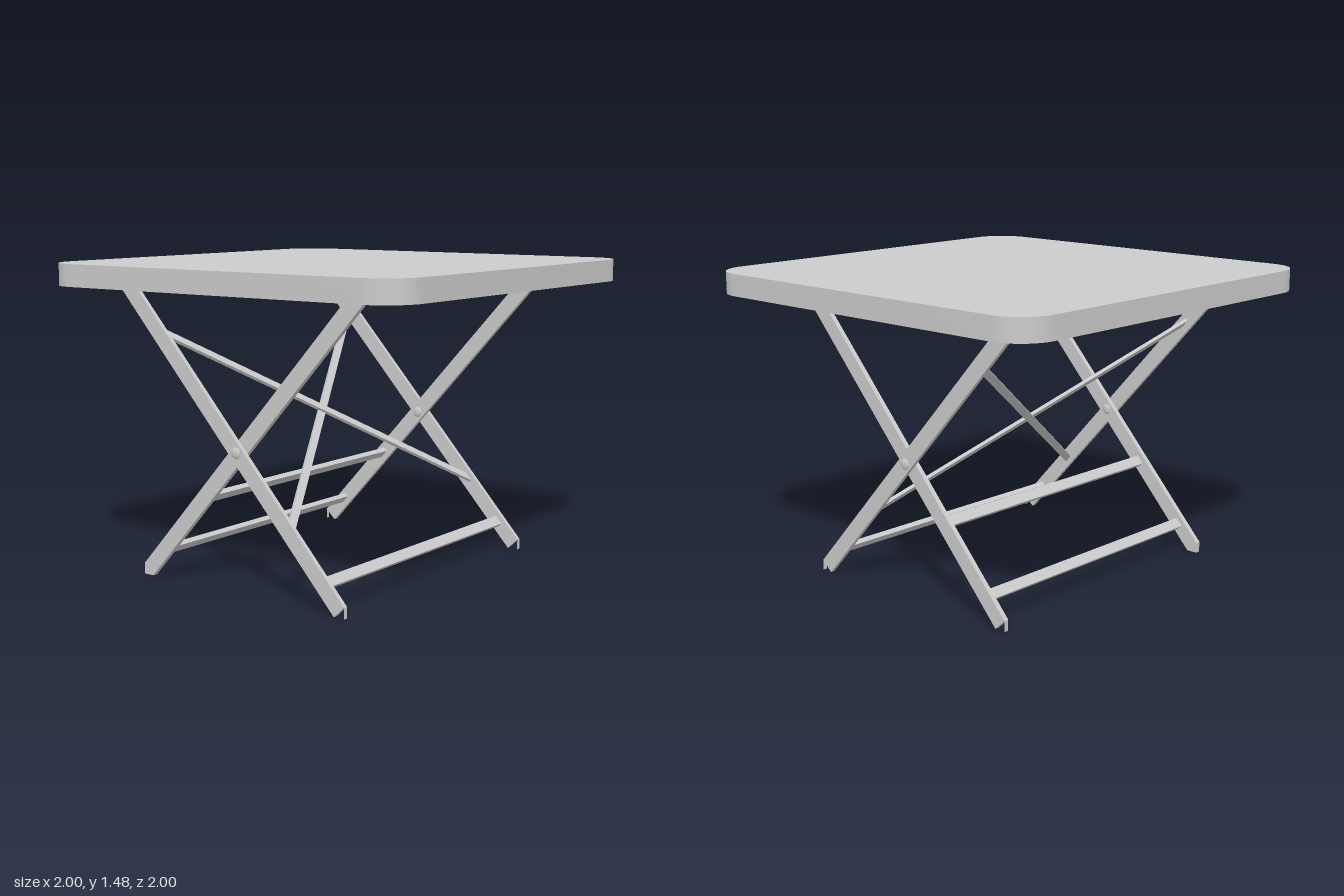
import * as THREE from 'three';
import { toCreasedNormals } from 'three/addons/utils/BufferGeometryUtils.js';

const material = new THREE.MeshStandardMaterial({ color: 0xcccccc });
const TILT = 0.742;            // lean of each leg frame from vertical
const PIVOT_Y = 0.655;
const MID_Z = 0.048;           // centre between the front and back legs

function add(parent, name, geometry, x = 0, y = 0, z = 0, mat = material) {
  const mesh = new THREE.Mesh(geometry, mat);
  mesh.name = name;
  mesh.position.set(x, y, z);
  parent.add(mesh);
  return mesh;
}

// Table top: rounded square slab
function topGeometry(half, r, thickness) {
  const s = new THREE.Shape();
  const c = half - r;
  s.absarc(c, c, r, 0, Math.PI / 2);
  s.absarc(-c, c, r, Math.PI / 2, Math.PI);
  s.absarc(-c, -c, r, Math.PI, Math.PI * 1.5);
  s.absarc(c, -c, r, Math.PI * 1.5, Math.PI * 2);
  s.closePath();
  const g = new THREE.ExtrudeGeometry(s, { depth: thickness, bevelEnabled: false, curveSegments: 12 });
  g.rotateX(-Math.PI / 2);
  return toCreasedNormals(g, 0.5);
}

// Flat leg running up towards side * x; a foot fills the corner at the floor
function legGeometry(side, depth, foot) {
  const pts = [[-0.545, 0], [0.703, 1.372], [0.6, 1.372], [-0.6, 0.052]];
  if (foot) pts.push([-0.6, 0]);
  const s = new THREE.Shape(pts.map(([x, y]) => new THREE.Vector2(side * x, y)));
  return new THREE.ExtrudeGeometry(s, { depth, bevelEnabled: false });
}

// Height on a leg -> distance along it from the pivot
const along = (y) => (y - PIVOT_Y) / Math.cos(TILT);

// Group whose local y runs along the legs and local x is square to them
function frame(name, side) {
  const g = new THREE.Group();
  g.name = name;
  g.position.set(0, PIVOT_Y, MID_Z);
  g.rotation.z = -side * TILT;
  return g;
}

export function createModel() {
  const model = new THREE.Group();
  model.name = 'foldingTable';
  add(model, 'tableTop', topGeometry(1, 0.18, 0.105), 0, 1.37, 0);

  // Legs: the inner frame leans to +x, the outer frame to -x
  add(model, 'innerFrontLeg', legGeometry(1, 0.026, true), 0, 0, 0.751);
  add(model, 'innerBackLeg', legGeometry(1, 0.024, false), 0, 0, -0.681);
  add(model, 'outerFrontLeg', legGeometry(-1, 0.021, false), 0, 0, 0.777);
  add(model, 'outerBackLeg', legGeometry(-1, 0.021, false), 0, 0, -0.702);

  // Thin end tabs at the floor
  const thin = material.clone();
  thin.side = THREE.DoubleSide;
  for (const [x, z] of [[-0.6, -0.669], [0.6, 0.7875], [0.6, -0.6915]]) {
    const tab = add(model, 'footTab', new THREE.PlaneGeometry(0.022, 0.052), x, 0.026, z, thin);
    tab.rotation.y = Math.PI / 2;
  }

  // Inner frame stretchers
  const inner = frame('innerStretchers', 1);
  for (const y of [0.132, 0.415]) {
    add(inner, 'innerStretcher', new THREE.BoxGeometry(0.024, 0.05, 1.42), 0, along(y), 0);
  }
  model.add(inner);

  // Outer frame stretcher and crossed braces
  const outer = frame('outerStretchers', -1);
  add(outer, 'outerStretcher', new THREE.BoxGeometry(0.024, 0.05, 1.46), 0, along(0.132), 0);
  for (const side of [-1, 1]) {
    const g = new THREE.BoxGeometry(0.016, 0.048, 1.46);
    const p = g.attributes.position;
    for (let i = 0; i < p.count; i++) p.setY(i, p.getY(i) + side * 0.774 * p.getZ(i));
    g.computeVertexNormals();
    add(outer, 'crossBrace', g, side * 0.006, along(0.75), 0);
  }
  model.add(outer);

  // Pivot bolts with domed heads
  for (const z of [0.775, -0.68]) {
    const bolt = add(model, 'pivotBolt', new THREE.CylinderGeometry(0.012, 0.012, 0.05, 16), 0, PIVOT_Y, z);
    bolt.rotation.x = Math.PI / 2;
    for (const s of [-1, 1]) {
      const head = add(model, 'pivotHead', new THREE.SphereGeometry(0.026, 20, 12), 0, PIVOT_Y, z + s * 0.022);
      head.scale.z = 0.35;
    }
  }
  return model;
}
